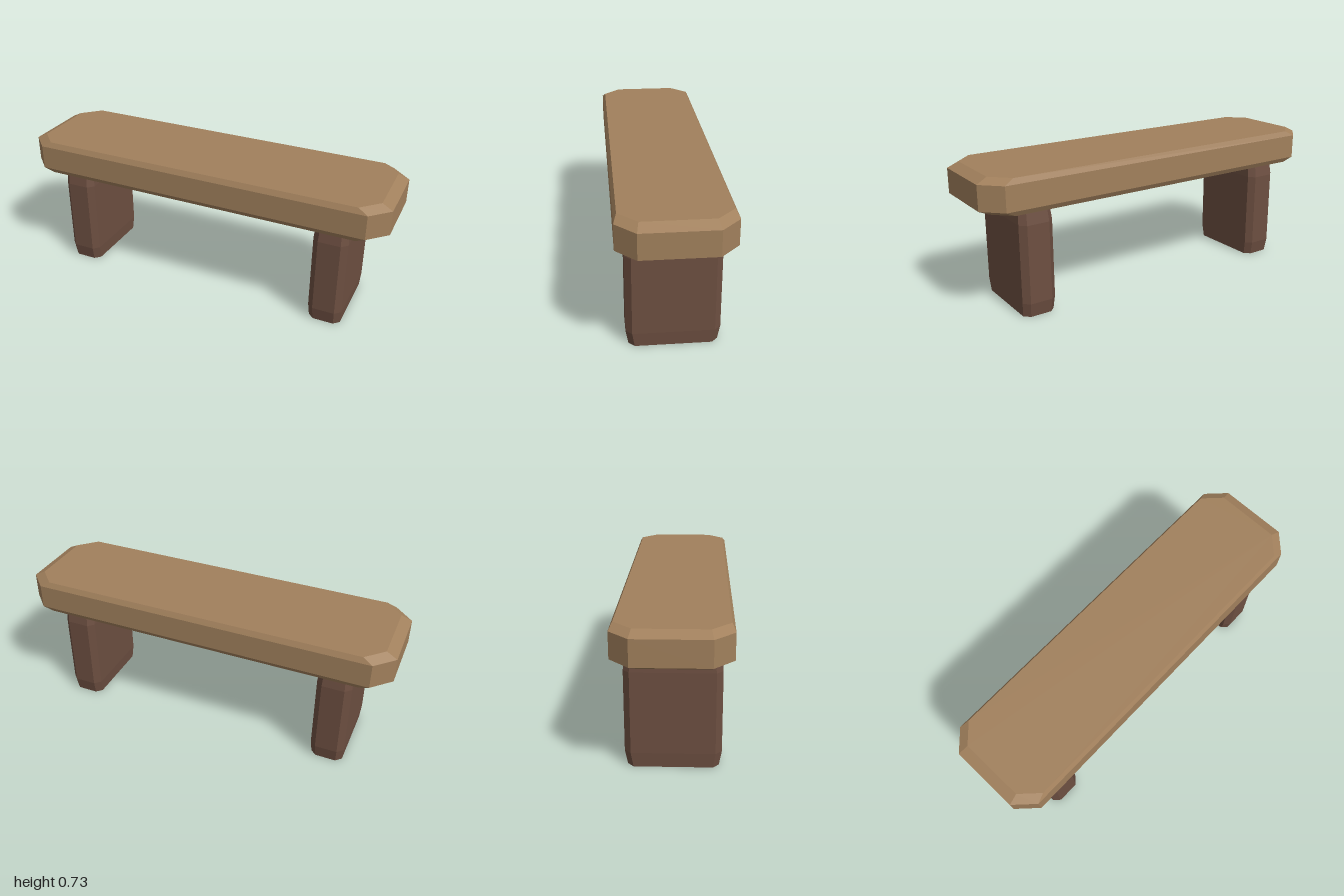
import * as THREE from 'three';

// Solid block with an octagonal plan: half sizes hx, hz, corners cut at cx, cz.
// Each level is [y, scale of the plan].
function chamferedBlock(hx, hz, cx, cz, levels) {
  const plan = [[hx, cz], [cx, hz], [-cx, hz], [-hx, cz], [-hx, -cz], [-cx, -hz], [cx, -hz], [hx, -cz]];
  const n = plan.length;
  const positions = [];
  const indices = [];
  for (const [y, s] of levels) {
    for (const [x, z] of plan) positions.push(x * s, y, z * s);
  }
  // Side walls
  for (let l = 0; l < levels.length - 1; l++) {
    for (let i = 0; i < n; i++) {
      const a = l * n + i;
      const b = l * n + ((i + 1) % n);
      indices.push(a, a + n, b + n, a, b + n, b);
    }
  }
  // Bottom and top caps
  const top = (levels.length - 1) * n;
  for (let i = 1; i < n - 1; i++) {
    indices.push(0, i, i + 1);
    indices.push(top, top + i + 1, top + i);
  }
  const indexed = new THREE.BufferGeometry();
  indexed.setAttribute('position', new THREE.Float32BufferAttribute(positions, 3));
  indexed.setIndex(indices);
  const geometry = indexed.toNonIndexed();
  geometry.computeVertexNormals();
  return geometry;
}

export function createModel() {
  const bench = new THREE.Group();
  bench.name = 'bench';
  const seatWood = new THREE.MeshStandardMaterial({ color: 0xa1805c, flatShading: true });
  const legWood = new THREE.MeshStandardMaterial({ color: 0x6d4f41, flatShading: true });

  // Thick plank with clipped corners and bevelled rims
  const seat = new THREE.Mesh(
    chamferedBlock(1, 0.272, 0.905, 0.178, [[0.547, 0.945], [0.573, 1], [0.7, 1], [0.727, 0.945]]),
    seatWood
  );
  seat.name = 'seat';
  bench.add(seat);

  // Two slab legs, tapering slightly at both ends
  const legGeometry = chamferedBlock(0.089, 0.226, 0.058, 0.196, [[0, 0.942], [0.073, 1], [0.475, 1], [0.548, 0.942]]);
  for (const [name, side] of [['leftLeg', 1], ['rightLeg', -1]]) {
    const leg = new THREE.Mesh(legGeometry, legWood);
    leg.name = name;
    leg.position.x = side * 0.727;
    bench.add(leg);
  }
  return bench;
}
